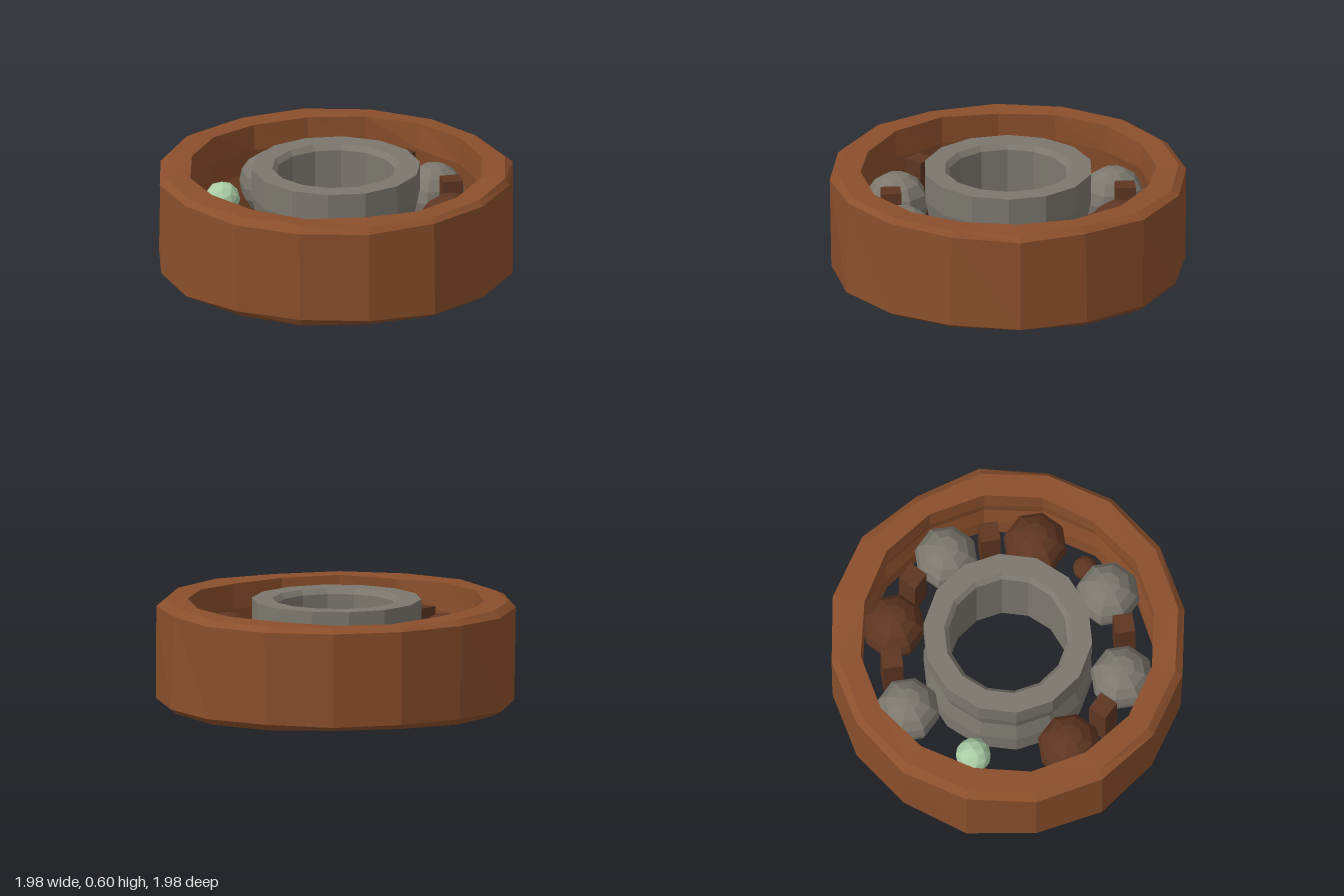
import * as THREE from 'three';

const mat = (color) => new THREE.MeshStandardMaterial({ color, flatShading: true });

// Repeatable noise in -1..1
const noise = (a, b, c) => {
  const s = Math.sin(a * 12.99 + b * 78.23 + c * 37.72) * 43758.55;
  return (s - Math.floor(s)) * 2 - 1;
};

// Closed ring turned from a profile of [radius, height], worn by small vertex offsets
function ring(name, profile, sides, start, wear, material) {
  const pts = [...profile, profile[0]].map(([r, y]) => new THREE.Vector2(r, y));
  const geo = new THREE.LatheGeometry(pts, sides, start);
  const pos = geo.attributes.position;
  for (let i = 0; i < pos.count; i++) {
    const seg = Math.floor(i / pts.length) % sides;
    const row = (i % pts.length) % profile.length;
    const k = 1 + wear * noise(seg, row, 1);
    pos.setXYZ(i, pos.getX(i) * k, pos.getY(i) + 0.7 * wear * noise(seg, row, 2), pos.getZ(i) * k);
  }
  geo.computeVertexNormals();
  const mesh = new THREE.Mesh(geo, material);
  mesh.name = name;
  return mesh;
}

export function createModel() {
  const model = new THREE.Group();
  model.name = 'ballBearing';
  const rust = mat(0x8b4f2c);
  const darkRust = mat(0x5e3622);
  const steel = mat(0x7c786f);
  const green = mat(0xa9cba4);

  const add = (name, geo, material, x, y, z, turn = 0) => {
    const mesh = new THREE.Mesh(geo, material);
    mesh.name = name;
    mesh.position.set(x, y, z);
    mesh.rotation.y = turn;
    model.add(mesh);
  };

  // Worn outer race with a shallow groove inside
  const outer = ring('outerRace', [
    [0.95, 0.01], [0.99, 0.04], [0.99, 0.56], [0.95, 0.59],
    [0.82, 0.59], [0.82, 0.44], [0.845, 0.3], [0.82, 0.16], [0.82, 0.01],
  ], 16, 0, 0.01, rust);
  // Dented upper edge on the left side
  const pos = outer.geometry.attributes.position;
  for (let i = 0; i < pos.count; i++) {
    if (pos.getX(i) > 0.9 && Math.abs(pos.getZ(i)) < 0.1 && pos.getY(i) > 0.5) {
      pos.setX(i, pos.getX(i) - 0.03);
    }
  }
  model.add(outer);

  // Inner race with grooved outside and bevelled bore
  model.add(ring('innerRace', [
    [0.355, 0], [0.47, 0], [0.47, 0.16], [0.44, 0.3], [0.47, 0.44],
    [0.47, 0.6], [0.355, 0.6], [0.33, 0.57], [0.33, 0.03],
  ], 14, Math.PI / 2, 0, steel));

  // Balls by eighths of a turn from the front; one is missing
  const ballGeo = new THREE.SphereGeometry(0.18, 8, 8);
  const balls = [steel, darkRust, steel, darkRust, steel, null, darkRust, steel];
  balls.forEach((material, i) => {
    const a = i * Math.PI / 4;
    if (material) add('ball', ballGeo, material, 0.65 * Math.sin(a), 0.3, 0.65 * Math.cos(a));
  });

  // Remaining cage blocks between the balls
  const blockGeo = new THREE.BoxGeometry(0.11, 0.36, 0.11);
  for (const i of [1, 2, 3, 6, 7]) {
    const a = (i + 0.5) * Math.PI / 4;
    add('cageBlock', blockGeo, darkRust, 0.65 * Math.sin(a), 0.3, 0.65 * Math.cos(a), a);
  }

  // Loose pieces in the gaps
  add('greenBead', new THREE.IcosahedronGeometry(0.1, 1), green, -0.43, 0.34, -0.49);
  add('rustNodule', new THREE.IcosahedronGeometry(0.07, 1), darkRust, 0.19, 0.32, 0.62);

  return model;
}
